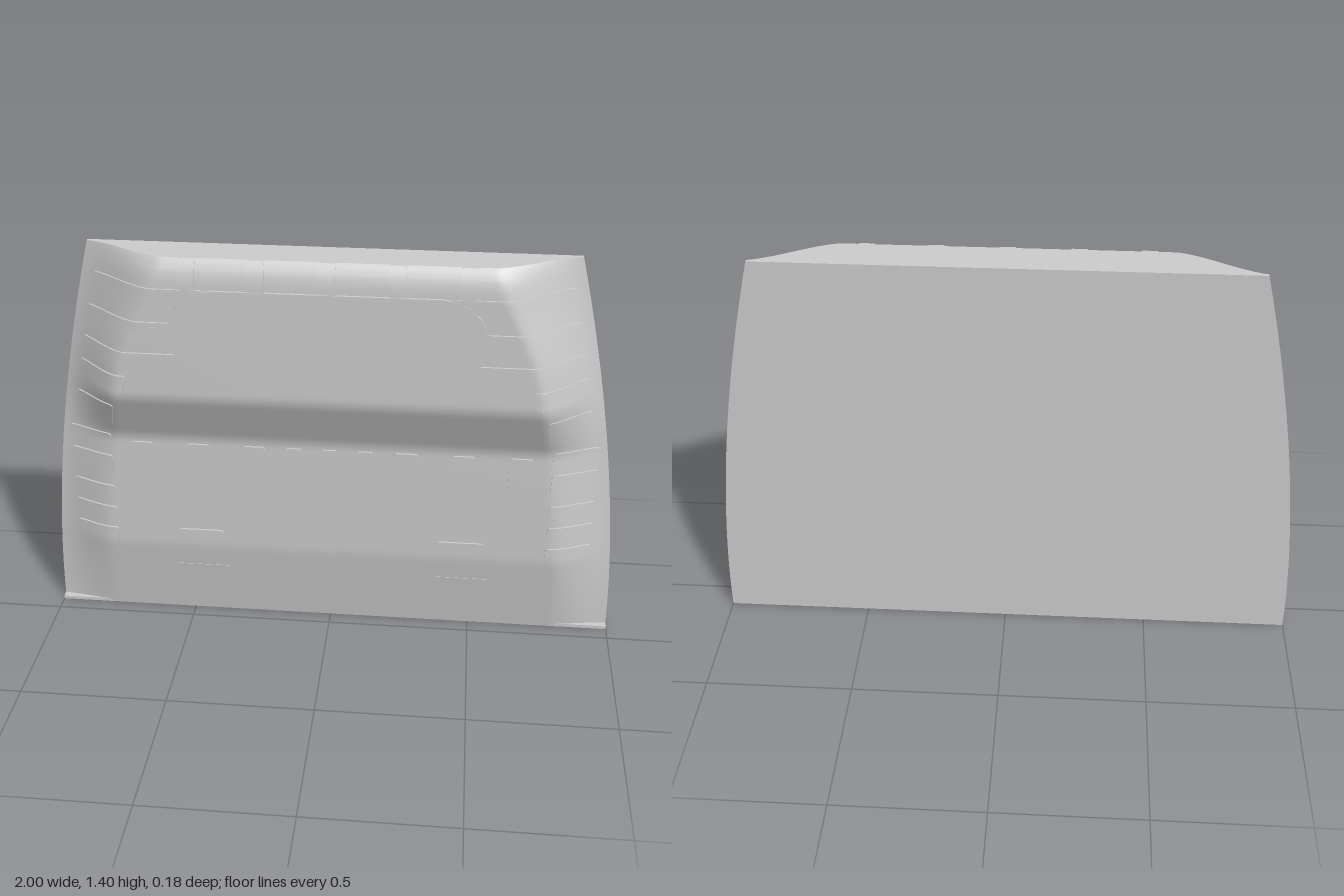
import * as THREE from 'three';
import { toCreasedNormals } from 'three/addons/utils/BufferGeometryUtils.js';

const TOP = 1.405, BACK = -0.09, EDGE = -0.08;
const { clamp, lerp, smoothstep } = THREE.MathUtils;

// Half width of the panel at a height
const halfWidth = y => 1 - 0.2 * Math.pow(clamp(y / TOP, 0, 1), 1.8);

// Centre-line depth of the front skin: [height, z]
const PROFILE = [[0, -0.055], [0.3, -0.007], [0.73, -0.007], [0.92, 0.084],
  [1.32, 0.084], [1.36, 0.079], [1.39, 0.066], [TOP, 0.05]];
function profile(y) {
  if (y <= 0) return PROFILE[0][1];
  for (let i = 1; i < PROFILE.length; i++) {
    const [y0, z0] = PROFILE[i - 1], [y1, z1] = PROFILE[i];
    if (y <= y1) return lerp(z0, z1, (y - y0) / (y1 - y0));
  }
  return PROFILE.at(-1)[1];
}

// Front skin: softened profile falling away to a thin edge at both sides
function skin(x, y) {
  const r = Math.min(0.02, Math.max(0, TOP - y), Math.max(0, y));
  let z = 0;
  for (let k = -2; k <= 2; k++) z += profile(y + k * r / 2) / 5;
  const reach = lerp(0.2, 0.27, smoothstep(y, 1, TOP));
  const t = clamp((halfWidth(y) - Math.abs(x)) / reach, 0, 1);
  return lerp(EDGE, z, 0.5 * t + 0.5 * smoothstep(t, 0, 1));
}

const material = new THREE.MeshStandardMaterial({ color: 0xcccccc, roughness: 0.8 });

function addMesh(group, name, geometry) {
  const mesh = new THREE.Mesh(geometry, material);
  mesh.name = name;
  group.add(mesh);
}

// Grid whose outermost ring drops straight down to make the side walls
function walledGrid(nu, nv, place) {
  const g = new THREE.PlaneGeometry(1, 1, nu + 2, nv + 2);
  const pos = g.attributes.position;
  for (let j = 0, i = 0; j <= nv + 2; j++) {
    for (let k = 0; k <= nu + 2; k++, i++) {
      const rim = j === 0 || k === 0 || j === nv + 2 || k === nu + 2;
      const u = clamp(k - 1, 0, nu) / nu, row = clamp(j - 1, 0, nv);
      pos.setXYZ(i, ...place(u, row, rim));
    }
  }
  g.deleteAttribute('uv');
  g.deleteAttribute('normal');
  return toCreasedNormals(g, 0.6);
}

// Raised rounded pad that follows the skin
function pad(group, name, x0, x1, y0, y1, { r = 0.01, h = 0.007, slant = 0 } = {}) {
  const rows = [], arc = 5, mid = Math.max(1, Math.ceil((y1 - y0 - 2 * r) / 0.012));
  // Each row: [height, inset of the rounded corner], from the top down
  for (let k = 0; k <= arc; k++) {
    const a = k / arc * Math.PI / 2;
    rows.push([y1 - r + r * Math.cos(a), r - r * Math.sin(a)]);
  }
  for (let k = 1; k < mid; k++) rows.push([lerp(y1 - r, y0 + r, k / mid), 0]);
  for (let k = arc; k >= 0; k--) {
    const a = k / arc * Math.PI / 2;
    rows.push([y0 + r - r * Math.cos(a), r - r * Math.sin(a)]);
  }
  const nu = Math.max(3, Math.ceil((x1 - x0) / 0.016)), ym = (y0 + y1) / 2;
  const side = Math.sign(x0 + x1) * slant;
  addMesh(group, name, walledGrid(nu, rows.length - 1, (u, row, rim) => {
    const [y, inset] = rows[row];
    const x = lerp(x0 + inset, x1 - inset, u) + side * (halfWidth(y) - halfWidth(ym));
    return [x, y, skin(x, y) + (rim ? -0.004 : h)];
  }));
}

function mirrorPads(group, name, x0, x1, y0, y1, options) {
  pad(group, name + 'Left', x0, x1, y0, y1, options);
  pad(group, name + 'Right', -x1, -x0, y0, y1, options);
}

export function createModel() {
  const model = new THREE.Group();
  model.name = 'mouldedPanel';

  // Front skin with its walls
  const rows = 140;
  addMesh(model, 'frontSkin', walledGrid(120, rows, (u, row, rim) => {
    const y = TOP * (1 - row / rows), x = halfWidth(y) * (2 * u - 1);
    return [x, y, rim ? BACK : skin(x, y)];
  }));

  // Flat back
  const outline = [];
  for (let k = 0; k <= 40; k++) outline.push(new THREE.Vector2(halfWidth(TOP * k / 40), TOP * k / 40));
  for (let k = 40; k >= 0; k--) outline.push(new THREE.Vector2(-halfWidth(TOP * k / 40), TOP * k / 40));
  const back = new THREE.ShapeGeometry(new THREE.Shape(outline));
  back.rotateY(Math.PI).translate(0, 0, BACK);
  addMesh(model, 'backFace', back);

  // Thin lip along the bottom edge
  const lip = new THREE.BoxGeometry(2, 0.012, 0.035);
  lip.translate(0, 0.006, BACK + 0.0175);
  addMesh(model, 'bottomLip', lip);

  // Large rounded plate on the upper bulge
  pad(model, 'upperPlate', -0.515, 0.515, 1.012, 1.31, { r: 0.148, h: 0.009 });

  // Tabs over the top edge
  for (const x of [-0.445, -0.225, 0, 0.225, 0.445])
    pad(model, 'topTab', x - 0.026, x + 0.026, 1.3, TOP, { r: 0.003, h: 0.006 });

  // Ribs wrapping round the upper corners: [inner x, bottom, top]
  for (const [x, y0, y1] of [[0.4, 1.26, 1.31], [0.45, 1.15, 1.195], [0.42, 1.035, 1.085],
    [0.67, 0.935, 1.0], [0.73, 0.775, 0.88]])
    mirrorPads(model, 'upperRib', x, halfWidth((y0 + y1) / 2) - 0.042, y0, y1, { r: 0.012, slant: 1 });

  // Ribs down the lower sides
  for (const [y0, y1] of [[0.695, 0.735], [0.575, 0.65], [0.48, 0.53], [0.395, 0.445], [0.31, 0.36]])
    mirrorPads(model, 'lowerRib', 0.755, 0.913, y0, y1);

  // Row of small blocks, slots and low rectangles
  for (const x of [0.26, 0.455, 0.65])
    mirrorPads(model, 'block', x - 0.04, x + 0.04, 0.575, 0.71);
  mirrorPads(model, 'slot', 0.375, 0.54, 0.342, 0.367, { r: 0.0124 });
  mirrorPads(model, 'lowRectangle', 0.36, 0.56, 0.1, 0.21, { r: 0.004, h: 0.002 });

  // Long central bars
  for (const x of [-0.122, 0, 0.122])
    pad(model, 'centreBar', x - 0.026, x + 0.026, 0.017, 0.71, { r: 0.005 });

  return model;
}
